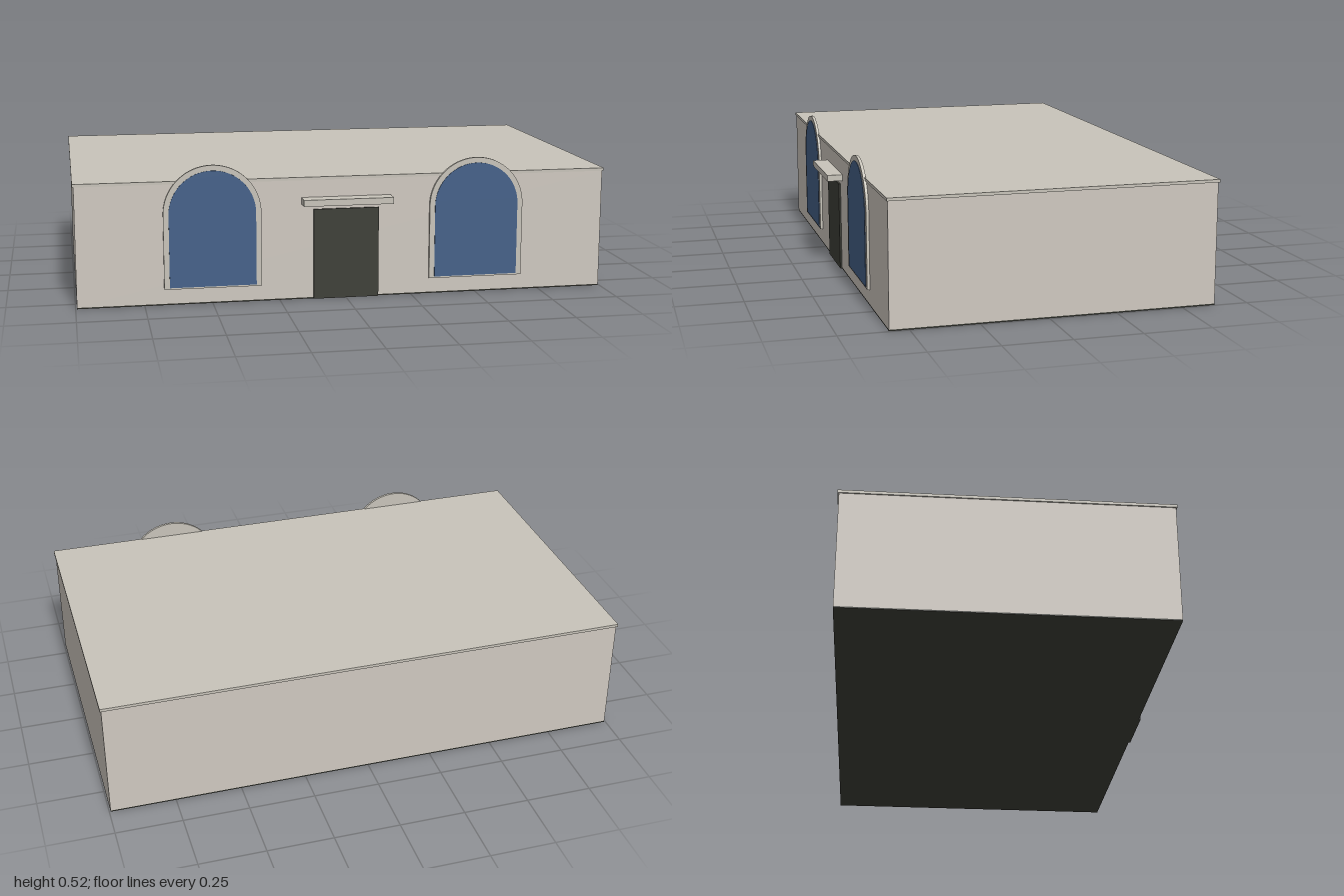
import * as THREE from 'three';

const material = (name, color) => {
  const m = new THREE.MeshStandardMaterial({ color });
  m.name = name;
  return m;
};

export function createModel() {
  const plaster = material('plaster', 0xcfc8c0);
  const stone = material('stone', 0xc8c4ba);
  const glass = material('blue glass', 0x456189);
  const dark = material('dark paint', 0x3e3f38);

  const model = new THREE.Group();
  model.name = 'building';

  // Box given by its minimum and maximum corners
  const box = (name, mat, [x0, y0, z0], [x1, y1, z1]) => {
    const mesh = new THREE.Mesh(new THREE.BoxGeometry(x1 - x0, y1 - y0, z1 - z0), mat);
    mesh.position.set((x0 + x1) / 2, (y0 + y1) / 2, (z0 + z1) / 2);
    mesh.name = name;
    model.add(mesh);
  };

  // Upright plate with a round arched top
  const archPlate = (name, mat, radius, bottom, spring, depth, z) => {
    const shape = new THREE.Shape();
    shape.moveTo(-radius, bottom);
    shape.lineTo(radius, bottom);
    shape.lineTo(radius, spring);
    shape.absarc(0, spring, radius, 0, Math.PI, false);
    shape.closePath();
    const geometry = new THREE.ExtrudeGeometry(shape, { depth, bevelEnabled: false, curveSegments: 24 });
    const mesh = new THREE.Mesh(geometry, mat);
    mesh.position.z = z;
    mesh.name = name;
    return mesh;
  };

  // Main block
  box('base', dark, [-0.995, 0, -0.625], [0.995, 0.005, 0.571]);
  box('walls', plaster, [-0.995, 0.005, -0.625], [0.995, 0.45, 0.571]);
  box('roof', stone, [-1, 0.45, -0.63], [1, 0.461, 0.575]);

  // Entrance
  box('door', dark, [-0.123, 0, 0.569], [0.123, 0.34, 0.578]);
  box('canopy', stone, [-0.168, 0.361, 0.569], [0.168, 0.385, 0.63]);

  // Arched windows on both sides of the door
  for (const side of [-1, 1]) {
    const group = new THREE.Group();
    group.name = side > 0 ? 'leftWindow' : 'rightWindow';
    group.add(
      archPlate('windowFrame', stone, 0.18, 0.06, 0.337, 0.011, 0.57),
      archPlate('windowPane', glass, 0.16, 0.066, 0.337, 0.003, 0.58)
    );
    group.position.x = side * 0.498;
    model.add(group);
  }

  return model;
}
